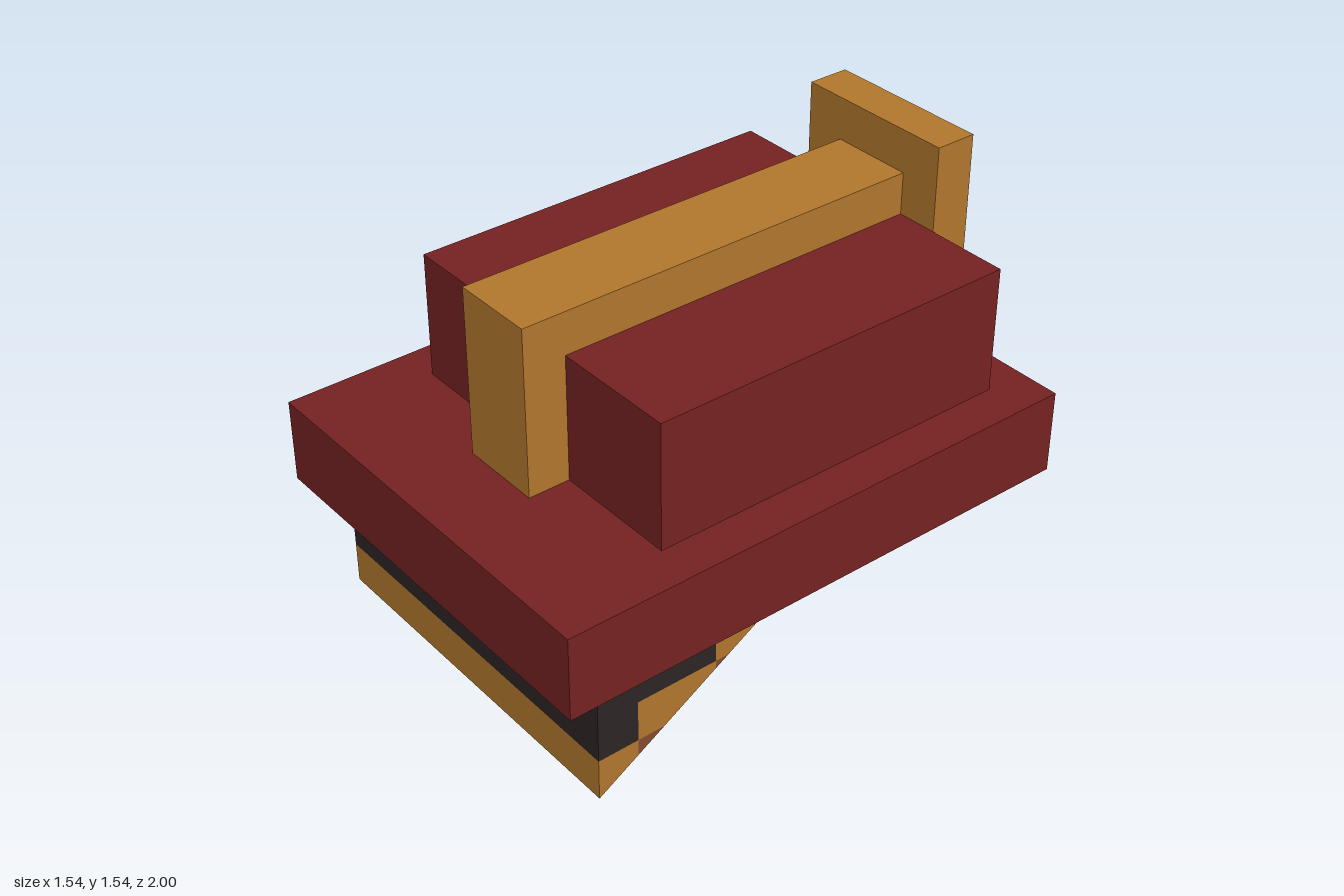
import * as THREE from 'three';

const U = 2 / 13; // grid module: every part is a multiple of this

export function createModel() {
  const model = new THREE.Group();
  const mat = (name, color) => {
    const m = new THREE.MeshStandardMaterial({ color, side: THREE.DoubleSide });
    m.name = name;
    return m;
  };
  const red = mat('dark red', 0x752222);
  const gold = mat('gold', 0xb1762d);
  const black = mat('charcoal', 0x2d2424);
  const brown = mat('brown', 0x844a2e);

  const add = (name, geometry, material, parent = model) => {
    const mesh = new THREE.Mesh(geometry, material);
    mesh.name = name;
    parent.add(mesh);
    return mesh;
  };
  // Box centred on x, given half width and y and z ranges in modules
  const box = (name, material, hx, y0, y1, z0, z1) =>
    add(name, new THREE.BoxGeometry(2 * hx * U, (y1 - y0) * U, (z1 - z0) * U), material)
      .position.set(0, (y0 + y1) / 2 * U, (z0 + z1) / 2 * U);

  // Helmet body
  box('brim', red, 5, 3, 5, -6.5, 6.5);
  box('crown', red, 4, 5, 8, -5.5, 3.5);
  box('crest', gold, 1, 5, 9, -5.5, 4.5);
  box('backPlate', gold, 2, 5, 10, -6.5, -5.5);

  // Rounded square inlay on the rear of the back plate
  const h = 0.135, r = 0.03;
  const square = new THREE.Shape();
  square.moveTo(-h + r, -h).lineTo(h - r, -h).quadraticCurveTo(h, -h, h, -h + r)
    .lineTo(h, h - r).quadraticCurveTo(h, h, h - r, h)
    .lineTo(-h + r, h).quadraticCurveTo(-h, h, -h, h - r)
    .lineTo(-h, -h + r).quadraticCurveTo(-h, -h, -h + r, -h);
  const inlay = add('backInlay', new THREE.ShapeGeometry(square), brown);
  inlay.rotation.y = Math.PI;
  inlay.position.set(0, 8 * U, -6.5 * U - 0.003);

  // Flat visor front, open behind and below
  const visor = new THREE.Group();
  visor.name = 'visor';
  model.add(visor);
  add('visorFrontTrim', new THREE.PlaneGeometry(9 * U, U), gold, visor)
    .position.set(0, 0.5 * U, 5.5 * U);
  add('visorFront', new THREE.PlaneGeometry(9 * U, 2 * U), black, visor)
    .position.set(0, 2 * U, 5.5 * U);

  // Keep the part of a polygon above the diagonal from bottom front to top back
  const side = ([z, y]) => y - 3 * (5.5 - z) / 5;
  const clip = (points) => points.flatMap((p, i) => {
    const q = points[(i + 1) % points.length], a = side(p), b = side(q);
    const out = a >= 0 ? [p] : [];
    if (a * b < 0) {
      const t = a / (a - b);
      out.push([p[0] + (q[0] - p[0]) * t, p[1] + (q[1] - p[1]) * t]);
    }
    return out;
  });

  // Stepped colour bands: material, front z, rear z, bottom row
  const bands = [
    [black, 5.5, 2.5, 2], [gold, 2.5, 1.5, 2], [brown, 1.5, 0.5, 2],
    [black, 5.5, 4.5, 1], [gold, 4.5, 2.5, 1], [brown, 2.5, 0.5, 1],
    [gold, 5.5, 4.5, 0], [brown, 4.5, 0.5, 0],
  ];
  // The right cheek is a full panel, the left one is cut to a triangle
  for (const [name, x, cut] of [['rightCheek', -4.5, false], ['leftCheek', 4.5, true]]) {
    const cheek = new THREE.Group();
    cheek.name = name;
    visor.add(cheek);
    for (const [material, z1, z0, y] of bands) {
      let points = [[z0, y], [z1, y], [z1, y + 1], [z0, y + 1]];
      if (cut) points = clip(points);
      if (points.length < 3) continue;
      const shape = new THREE.Shape(points.map(([z, v]) => new THREE.Vector2(z * U, v * U)));
      const geometry = new THREE.ShapeGeometry(shape).rotateY(x > 0 ? -Math.PI / 2 : -Math.PI / 2);
      add(name + 'Band', geometry, material, cheek).position.x = x * U;
    }
  }
  return model;
}
